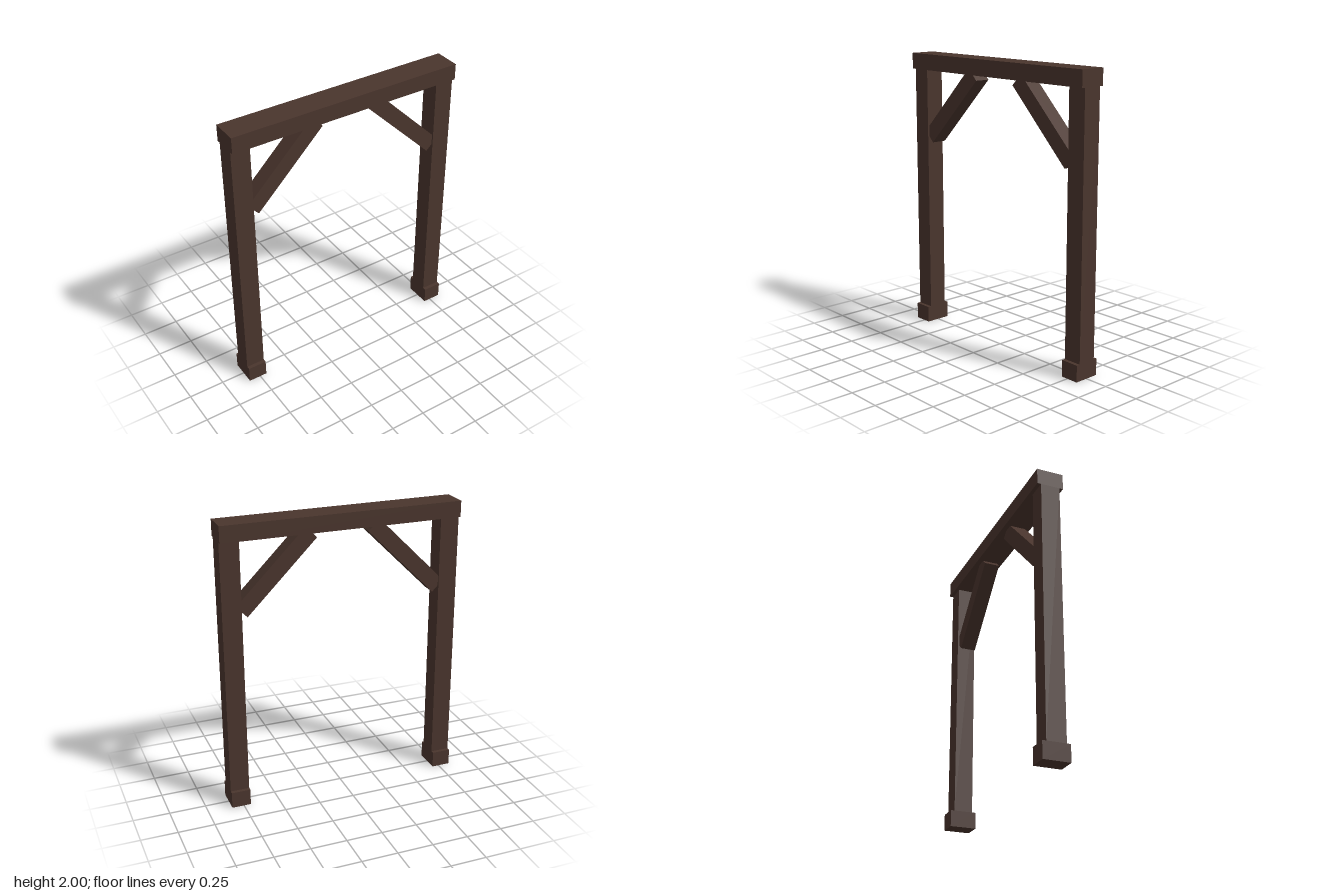
import * as THREE from 'three';

export function createModel() {
  const model = new THREE.Group();
  model.name = 'timberFrame';
  const wood = new THREE.MeshStandardMaterial({ color: 0x4a352d });
  wood.name = 'dark wood';

  const beam = (name, w, h, d, x, y, tilt = 0) => {
    const mesh = new THREE.Mesh(new THREE.BoxGeometry(w, h, d), wood);
    mesh.name = name;
    mesh.position.set(x, y, 0);
    mesh.rotation.z = tilt;
    model.add(mesh);
  };

  const halfWidth = 0.833, post = 0.132, footTop = 0.115, lintelBottom = 1.888;
  const postX = halfWidth - post / 2;

  // Lintel across the top
  beam('lintel', halfWidth * 2, 2 - lintelBottom, 0.184, 0, (2 + lintelBottom) / 2);

  // Foot, post and diagonal brace on each side
  for (const [side, s] of [['left', 1], ['right', -1]]) {
    beam(side + 'Foot', post, footTop, 0.184, s * postX, footTop / 2);
    beam(side + 'Post', post, lintelBottom - footTop, post, s * postX, (lintelBottom + footTop) / 2);
    beam(side + 'Brace', 0.68, 0.11, 0.11, s * 0.459, 1.647, -s * Math.PI / 4);
  }
  return model;
}
